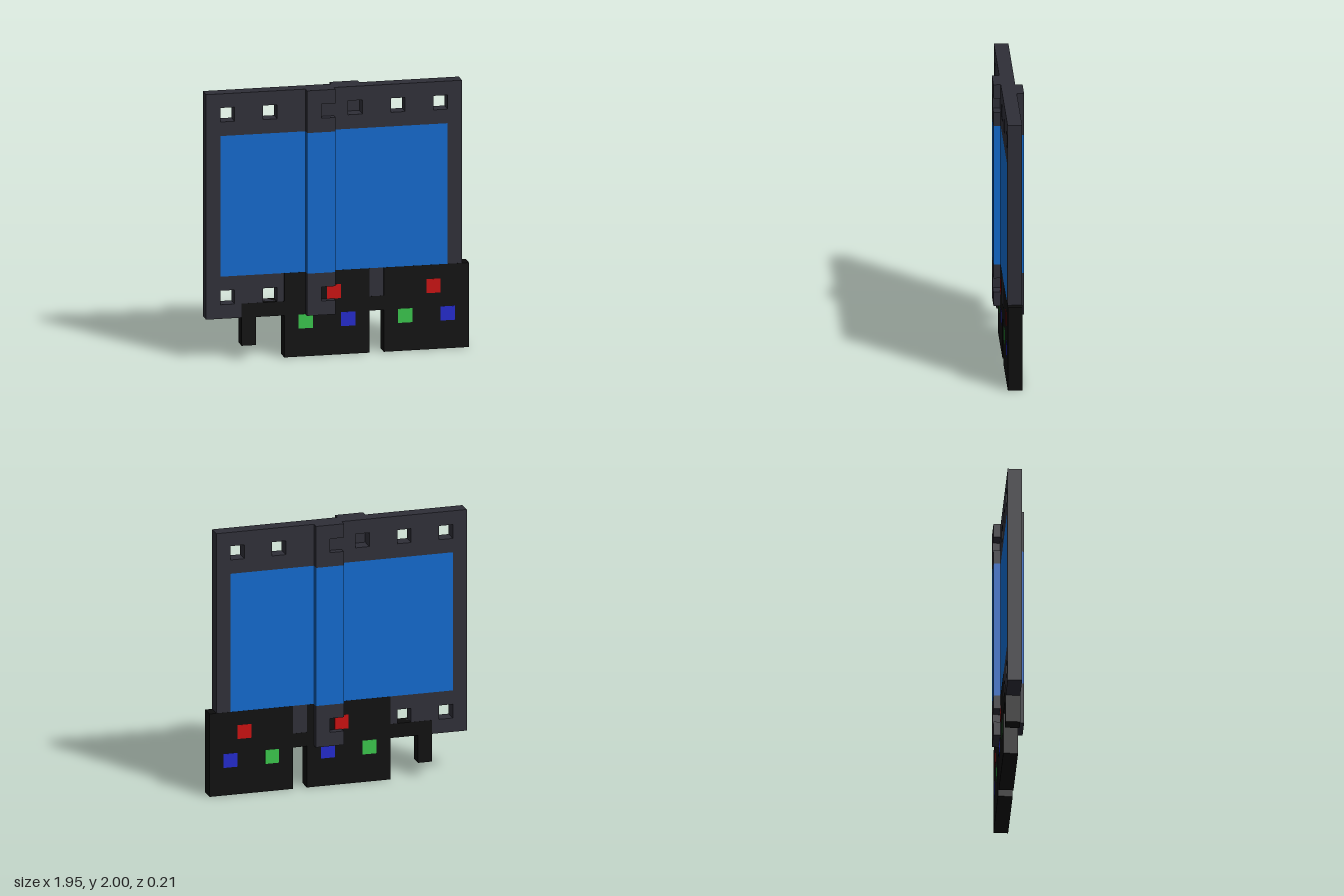
import * as THREE from 'three';

// Everything is laid out in whole cells; 19 cells make the full height of 2 units.
const CELL = 2 / 19;

const mat = (name, color) => {
  const m = new THREE.MeshStandardMaterial({ color });
  m.name = name;
  return m;
};

export function createModel() {
  const charcoal = mat('charcoal', 0x2e2e37);
  const screenBlue = mat('screen blue', 0x0f69cc);
  const black = mat('black', 0x0d0d0d);
  const red = mat('red', 0xc90d0d);
  const green = mat('green', 0x39c44b);
  const blue = mat('blue', 0x2229cc);

  const model = new THREE.Group();
  model.name = 'framedPanel';

  const add = (parent, name, geometry, material) => {
    const mesh = new THREE.Mesh(geometry, material);
    mesh.name = name;
    parent.add(mesh);
    return mesh;
  };
  const box = (parent, name, material, x0, x1, y0, y1, z0, z1) =>
    add(parent, name, new THREE.BoxGeometry(x1 - x0, y1 - y0, z1 - z0), material)
      .position.set((x0 + x1) / 2, (y0 + y1) / 2, (z0 + z1) / 2);
  const outline = (points, Type = THREE.Shape) =>
    new Type(points.map(([x, y]) => new THREE.Vector2(x, y)));
  const rect = (x0, x1, y0, y1, Type) =>
    outline([[x0, y0], [x1, y0], [x1, y1], [x0, y1]], Type);
  const slab = (shape, z0, z1) =>
    new THREE.ExtrudeGeometry(shape, { depth: z1 - z0, bevelEnabled: false }).translate(0, 0, z0);

  // Outer frame with the screen opening and two rows of square holes
  const frame = rect(-9.25, 8.75, 3, 19);
  frame.holes.push(rect(-8.25, 7.75, 6, 16, THREE.Path));
  for (const y of [4, 17]) {
    for (let i = 0; i < 6; i++) {
      const x = -8.25 + 3 * i;
      frame.holes.push(rect(x, x + 1, y, y + 1, THREE.Path));
    }
  }
  add(model, 'frame', slab(frame, -0.5, 0.5), charcoal);
  box(model, 'screen', screenBlue, -8.25, 7.75, 6, 16, -0.5, 0.5);

  // Raised rib: notched dark ends and a blue middle; the back one is turned half round
  for (const [name, turn] of [['frontRib', 0], ['backRib', Math.PI]]) {
    const rib = new THREE.Group();
    rib.name = name;
    for (const [end, y] of [['ribBottom', 3], ['ribTop', 16]]) {
      const shape = outline([
        [-2, y], [0, y], [0, y + 1], [-1, y + 1],
        [-1, y + 2], [0, y + 2], [0, y + 3], [-2, y + 3],
      ]);
      add(rib, end, slab(shape, 0.5, 1), charcoal);
    }
    box(rib, 'ribMiddle', screenBlue, -2, 0, 6, 16, 0.5, 1);
    rib.position.x = -0.25;
    rib.rotation.y = turn;
    model.add(rib);
  }

  // Two black plates joined by a bar that ends in a hanging leg
  const glasses = outline([
    [-6.75, 1], [-5.75, 1], [-5.75, 2.99], [-3.75, 2.99], [-3.75, 0], [2.25, 0],
    [2.25, 2.99], [3.25, 2.99], [3.25, 0], [9.25, 0], [9.25, 6], [3.25, 6],
    [3.25, 4], [2.25, 4], [2.25, 6], [-3.75, 6], [-3.75, 4], [-6.75, 4],
  ]);
  add(model, 'joinedPlates', slab(glasses, -0.51, 0.51), black);

  // Coloured squares on both faces of each plate
  for (const x of [-3.75, 3.25]) {
    for (const [name, material, dx, y] of [
      ['redSquare', red, 3, 4], ['greenSquare', green, 1, 2], ['blueSquare', blue, 4, 2],
    ]) {
      for (const z of [-0.515, 0.515]) {
        box(model, name, material, x + dx, x + dx + 1, y, y + 1, z - 0.015, z + 0.015);
      }
    }
  }

  model.scale.setScalar(CELL);
  return model;
}
